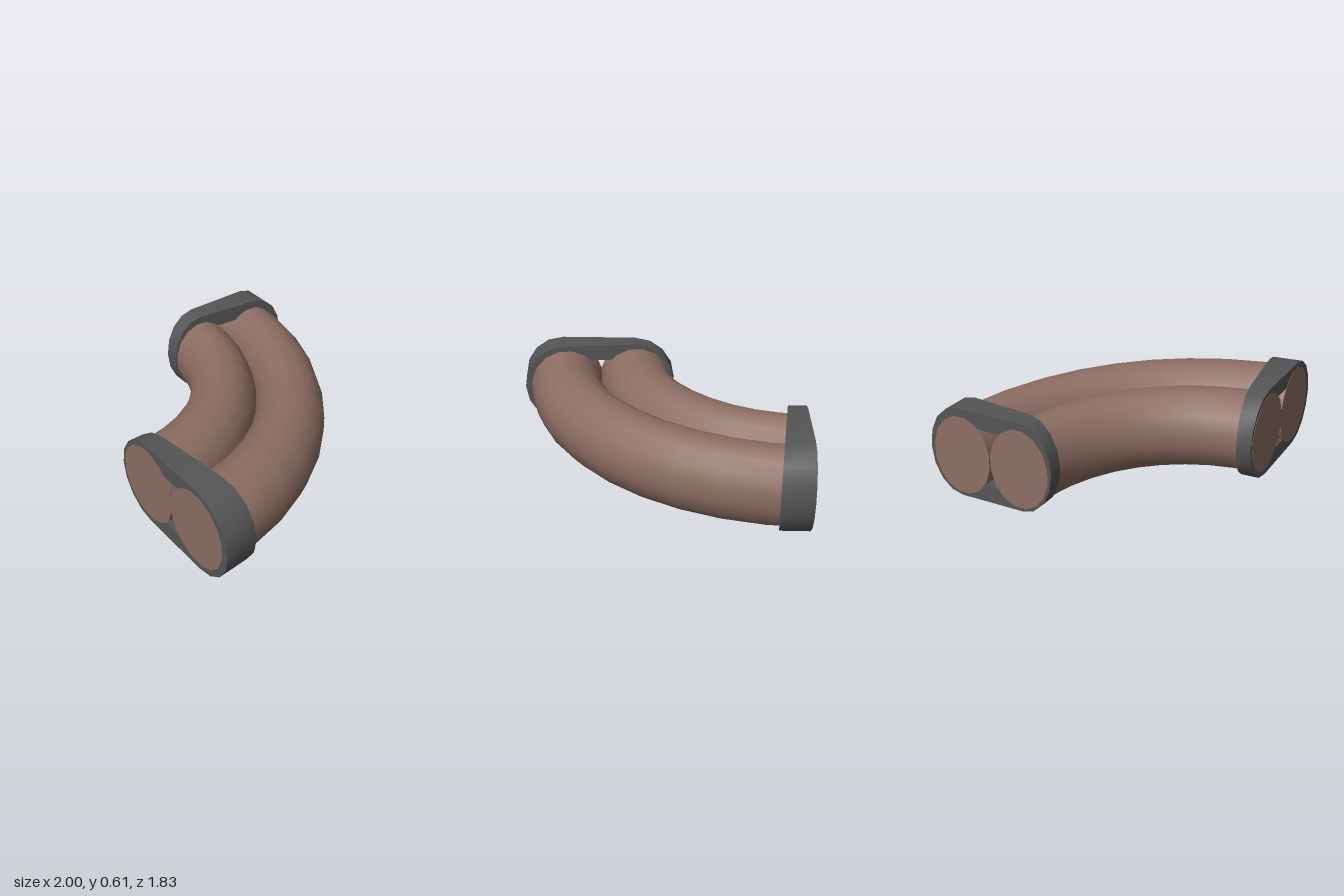
import * as THREE from 'three';
import { toCreasedNormals } from 'three/addons/utils/BufferGeometryUtils.js';

const SIDES = 16, STEPS = 10, MID_Y = 0.305;
const lerp = THREE.MathUtils.lerp;

// Quarter-bend pipe swept about (-1, 0.91); the section narrows towards the back end
function bentPipe(radiusX, radiusZ) {
  const pos = [], index = [];
  const addRing = (t) => {
    const a = t * Math.PI / 2, c = Math.cos(a), s = Math.sin(a);
    const r = lerp(0.265, 0.212, t), y = lerp(0.307, 0.287, t);
    for (let j = 0; j < SIDES; j++) {
      const b = (j + 0.5) / SIDES * Math.PI * 2, w = r * Math.cos(b);
      pos.push(-1.001 + (radiusX + w) * c, y + 0.27 * Math.sin(b), 0.912 - (radiusZ + w) * s);
    }
  };
  for (let i = 0; i <= STEPS; i++) addRing(i / STEPS);
  for (let i = 0; i < STEPS; i++) {
    for (let j = 0; j < SIDES; j++) {
      const k = (j + 1) % SIDES, a = i * SIDES, b = a + SIDES;
      index.push(a + j, b + j, a + k, a + k, b + j, b + k);
    }
  }
  // Flat end caps with their own vertices
  for (const t of [0, 1]) {
    const base = pos.length / 3;
    addRing(t);
    for (let j = 1; j < SIDES - 1; j++) {
      if (t === 0) index.push(base, base + j, base + j + 1);
      else index.push(base, base + j + 1, base + j);
    }
  }
  const geo = new THREE.BufferGeometry();
  geo.setAttribute('position', new THREE.Float32BufferAttribute(pos, 3));
  geo.setIndex(index);
  geo.computeVertexNormals();
  return geo;
}

// Outline of two half ellipses joined by straight sides
function slotPoints(center, half, rx, ry) {
  const pts = [];
  for (const side of [1, -1]) {
    for (let i = 0; i <= 8; i++) {
      const a = (i / 8 - 0.5) * Math.PI;
      pts.push(new THREE.Vector2(center + side * (half + rx * Math.cos(a)), MID_Y + side * ry * Math.sin(a)));
    }
  }
  return pts;
}

// Wedge-shaped collar: flat outer face, slanted inner face running from z0 to z1
function collar({ center, half, rx, holeRx, flat, z0, z1, squeeze }) {
  const shape = new THREE.Shape(slotPoints(center, half, rx, 0.305));
  shape.holes.push(new THREE.Path(slotPoints(center, half, holeRx, 0.19)));
  const geo = new THREE.ExtrudeGeometry(shape, { depth: 1, bevelEnabled: false });
  const p = geo.attributes.position, left = center - half - rx, width = 2 * (half + rx);
  for (let i = 0; i < p.count; i++) {
    const u = (p.getX(i) - left) / width;
    if (p.getZ(i) > 0.5) p.setZ(i, flat);
    else p.setXYZ(i, p.getX(i) - squeeze * u, p.getY(i), lerp(z0, z1, u));
  }
  return toCreasedNormals(geo, 0.6);
}

export function createModel() {
  const group = new THREE.Group();
  const brown = new THREE.MeshStandardMaterial({ color: 0x8d6e63 });
  brown.name = 'brown';
  const darkGrey = new THREE.MeshStandardMaterial({ color: 0x555555 });
  darkGrey.name = 'darkGrey';
  const add = (name, geo, mat) => {
    const mesh = new THREE.Mesh(geo, mat);
    mesh.name = name;
    group.add(mesh);
    return mesh;
  };

  // Two pipes side by side
  add('innerPipe', bentPipe(1.17, 1.167), brown);
  add('outerPipe', bentPipe(1.688, 1.592), brown);

  // Collars at the two ends
  add('frontCollar', collar({
    center: 0.44, half: 0.27, rx: 0.29, holeRx: 0.17, flat: 0.91, z0: 0.81, z1: 0.68, squeeze: 0.025,
  }), darkGrey);
  const back = add('backCollar', collar({
    center: -0.469, half: 0.226, rx: 0.222, holeRx: 0.135, flat: 1, z0: 0.79, z1: 0.895, squeeze: 0,
  }), darkGrey);
  back.rotation.y = -Math.PI / 2;

  return group;
}
